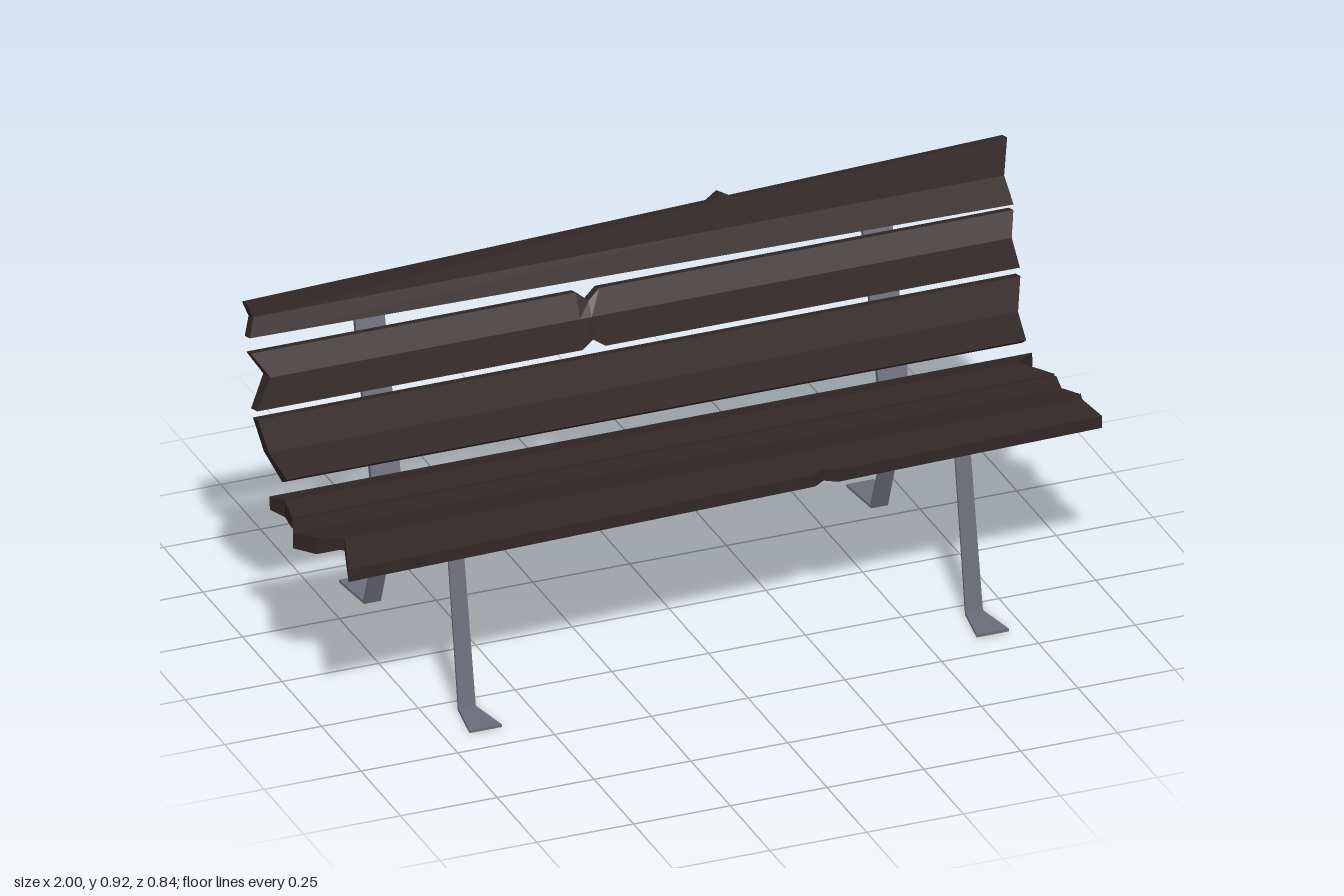
import * as THREE from 'three';

// Lofts a slab along x. Each row: [face z, face y, back z, back y, xLow, xHigh, dz, dy],
// where dz, dy shift the low-x end. Each notch: [row, dz, dy] moves the edge at notchX.
function slab(rows, notchX, notches = []) {
  const points = rows.map(([az, ay, bz, by, x0, x1, dz = 0, dy = 0], i) => {
    const xs = notchX === undefined ? [x0, x1] : [x0, notchX - 0.03, notchX, notchX + 0.03, x1];
    return xs.map((x, j) => {
      const t = (x1 - x) / (x1 - x0);
      let z = dz * t, y = dy * t;
      for (const [row, nz, ny] of notches) if (row === i && j === 2) { z += nz; y += ny; }
      return { a: [x, ay + y, az + z], b: [x, by + y, bz + z] };
    });
  });
  const pos = [];
  const quad = (p, q, r, s) => pos.push(...p, ...q, ...r, ...p, ...r, ...s);
  const n = points.length - 1, m = points[0].length - 1;
  for (let i = 0; i < n; i++) {
    const P = points[i], Q = points[i + 1];
    for (let j = 0; j < m; j++) {
      quad(P[j].a, P[j + 1].a, Q[j + 1].a, Q[j].a);
      quad(P[j].b, Q[j].b, Q[j + 1].b, P[j + 1].b);
    }
    quad(P[0].b, P[0].a, Q[0].a, Q[0].b);
    quad(P[m].a, P[m].b, Q[m].b, Q[m].a);
  }
  for (let j = 0; j < m; j++) {
    const P = points[0], Q = points[n];
    quad(P[j].b, P[j + 1].b, P[j + 1].a, P[j].a);
    quad(Q[j].a, Q[j + 1].a, Q[j + 1].b, Q[j].b);
  }
  const g = new THREE.BufferGeometry();
  g.setAttribute('position', new THREE.Float32BufferAttribute(pos, 3));
  g.computeVertexNormals();
  return g;
}

// Bent flat bar following [z, y, halfWidth] points, with mitred corners
function flatBar(path, thickness) {
  const normal = (p, q) => new THREE.Vector2(q[1] - p[1], p[0] - q[0]).normalize();
  return slab(path.map((p, i) => {
    const n1 = i > 0 ? normal(path[i - 1], p) : normal(p, path[1]);
    const n2 = i < path.length - 1 ? normal(p, path[i + 1]) : n1;
    const m = n1.clone().add(n2).normalize();
    m.multiplyScalar(thickness / 2 / m.dot(n1));
    return [p[0] + m.x, p[1] + m.y, p[0] - m.x, p[1] - m.y, -p[2], p[2]];
  }));
}

export function createModel() {
  const bench = new THREE.Group();
  bench.name = 'bench';
  const wood = new THREE.MeshStandardMaterial({ color: 0x342727 });
  wood.name = 'dark wood';
  const metal = new THREE.MeshStandardMaterial({ color: 0x6c6b7a });
  metal.name = 'grey metal';
  const add = (name, geometry, material, x = 0) => {
    const mesh = new THREE.Mesh(geometry, material);
    mesh.name = name;
    mesh.position.x = x;
    bench.add(mesh);
  };

  // Seat planks, rows from front to back
  add('frontSeatPlank', slab([
    [0.29, 0.465, 0.29, 0.433, -0.97, 1, 0.058, 0],
    [0.2, 0.47, 0.2, 0.437, -0.92, 0.985],
    [0.155, 0.46, 0.155, 0.43, -0.97, 1],
  ], 0.28, [[0, -0.02, 0]]), wood);
  add('middleSeatPlank', slab([
    [0.145, 0.455, 0.145, 0.41, -0.97, 1],
    [0.07, 0.437, 0.07, 0.396, -1, 0.985],
    [0, 0.433, 0, 0.388, -0.97, 1],
  ]), wood);
  add('rearSeatPlank', slab([
    [-0.012, 0.433, -0.01, 0.405, -0.97, 1],
    [-0.09, 0.438, -0.09, 0.393, -0.955, 0.94],
    [-0.153, 0.422, -0.15, 0.388, -0.97, 1],
  ]), wood);

  // Backrest planks, rows from bottom to top
  add('lowerBackPlank', slab([
    [-0.19, 0.437, -0.218, 0.417, -0.91, 1],
    [-0.205, 0.51, -0.238, 0.5, -0.95, 0.985],
    [-0.227, 0.593, -0.257, 0.585, -0.97, 1],
  ]), wood);
  add('middleBackPlank', slab([
    [-0.23, 0.614, -0.269, 0.604, -0.97, 1],
    [-0.245, 0.69, -0.29, 0.68, -0.93, 0.985],
    [-0.271, 0.75, -0.3, 0.742, -0.97, 1],
  ], -0.1, [[0, -0.005, 0.02], [2, 0.006, -0.025]]), wood);
  add('upperBackPlank', slab([
    [-0.27, 0.765, -0.303, 0.756, -0.97, 1, -0.006, 0.024],
    [-0.293, 0.835, -0.322, 0.825, -0.955, 0.985],
    [-0.311, 0.926, -0.34, 0.919, -0.97, 1, 0.013, -0.055],
  ], 0.26, [[2, -0.004, 0.018]]), wood);

  // Two metal frames: wide support bar, and a narrower strap bent into legs and feet
  for (const [side, x] of [['right', -0.645], ['left', 0.665]]) {
    add(side + 'SupportBar', flatBar([
      [0.28, 0.431, 0.038], [-0.211, 0.359, 0.038], [-0.33, 0.802, 0.038],
    ], 0.015), metal, x);
    add(side + 'LegStrap', flatBar([
      [0.42, 0.008, 0.042], [0.3, 0.006, 0.022], [0.225, 0.411, 0.02],
      [-0.17, 0.348, 0.02], [-0.3, 0.006, 0.022], [-0.42, 0.008, 0.036],
    ], 0.007), metal, x);
  }
  return bench;
}
